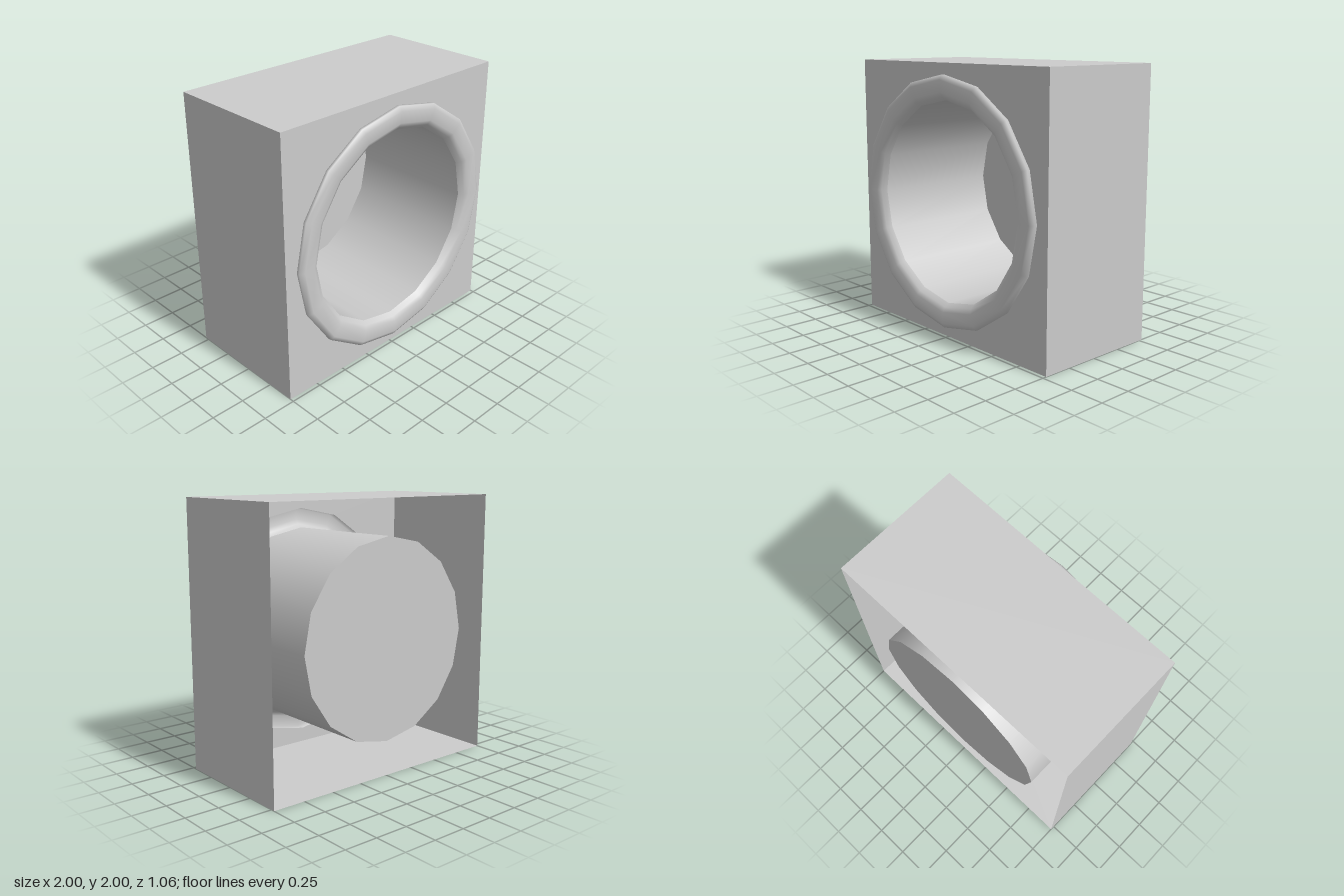
import * as THREE from 'three';

const SIDES = 16;
const BACK = -0.53, FRONT = 0.47;
const HOLE_R = 0.89, CUP_R = 0.74;

export function createModel() {
  const group = new THREE.Group();
  const material = new THREE.MeshStandardMaterial({ color: 0xcccccc, side: THREE.DoubleSide });

  const add = (name, geometry, parent = group) => {
    const mesh = new THREE.Mesh(geometry, material);
    mesh.name = name;
    parent.add(mesh);
    return mesh;
  };

  // Revolve a profile of [radius, z] points around the z axis
  const revolve = (profile) =>
    new THREE.LatheGeometry(profile.map(([r, z]) => new THREE.Vector2(r, z)), SIDES).rotateX(Math.PI / 2);

  // Everything round is centred at y = 1
  const round = new THREE.Group();
  round.name = 'roundOpening';
  round.position.y = 1;
  group.add(round);

  // Four outer walls, open at the back
  const depth = FRONT - BACK;
  ['topWall', 'rightWall', 'bottomWall', 'leftWall'].forEach((name, i) => {
    const wall = new THREE.PlaneGeometry(2, depth)
      .rotateX(-Math.PI / 2)
      .translate(0, 1, (FRONT + BACK) / 2)
      .rotateZ((i * Math.PI) / 2)
      .translate(0, 1, 0);
    add(name, wall);
  });

  // Front panel with a sixteen-sided hole
  const panel = new THREE.Shape([[-1, -1], [1, -1], [1, 1], [-1, 1]].map(([x, y]) => new THREE.Vector2(x, y)));
  const hole = [];
  for (let i = 0; i < SIDES; i++) {
    const a = (-i / SIDES) * Math.PI * 2;
    hole.push(new THREE.Vector2(HOLE_R * Math.cos(a), HOLE_R * Math.sin(a)));
  }
  panel.holes.push(new THREE.Path(hole));
  add('frontPanel', new THREE.ShapeGeometry(panel).translate(0, 0, FRONT), round);

  // Rounded rim around the hole, hollow behind
  add('rim', revolve([
    [HOLE_R, FRONT], [0.92, 0.487], [0.92, 0.51], [0.885, 0.53],
    [0.8, 0.525], [0.765, 0.505], [CUP_R, FRONT],
  ]), round);

  // Cup reaching to the back, with a flat floor
  add('cupWall', revolve([[CUP_R, FRONT], [CUP_R, BACK]]), round);
  add('cupFloor', new THREE.CircleGeometry(CUP_R, SIDES).translate(0, 0, BACK), round);

  return group;
}
